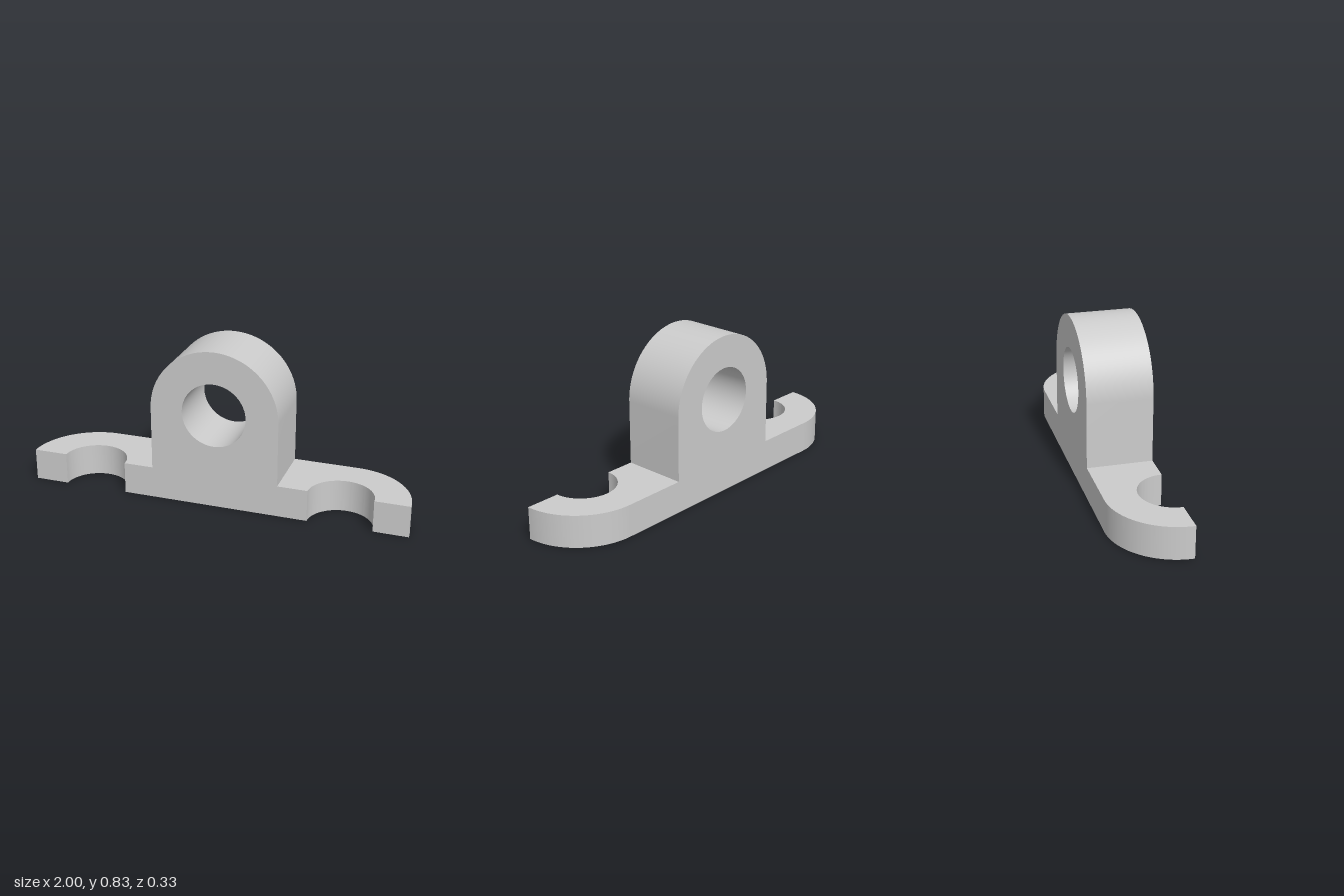
import * as THREE from 'three';
import { toCreasedNormals } from 'three/addons/utils/BufferGeometryUtils.js';

const HALF_DEPTH = 0.1667; // half of the front-to-back depth
const BASE_H = 0.1667; // thickness of the feet
const R_OUT = 0.3333; // outer radius of eye and foot ends
const R_HOLE = 0.1667;
const EYE_Y = 0.5;
const SLOT_X = 0.655;

const material = new THREE.MeshStandardMaterial({ color: 0xcccccc });

function extrude(shape, depth) {
  return new THREE.ExtrudeGeometry(shape, { depth, bevelEnabled: false, curveSegments: 32 });
}

function makeMesh(name, geometry) {
  const mesh = new THREE.Mesh(toCreasedNormals(geometry, Math.PI / 6), material);
  mesh.name = name;
  return mesh;
}

// Upright lug with a rounded top and a through bore
function bearingLug() {
  const shape = new THREE.Shape();
  shape.moveTo(-R_OUT, 0);
  shape.lineTo(R_OUT, 0);
  shape.lineTo(R_OUT, EYE_Y);
  shape.absarc(0, EYE_Y, R_OUT, 0, Math.PI, false);
  shape.lineTo(-R_OUT, 0);
  const bore = new THREE.Path();
  bore.absarc(0, EYE_Y, R_HOLE, 0, Math.PI * 2, true);
  shape.holes.push(bore);
  return makeMesh('bearingLug', extrude(shape, HALF_DEPTH * 2).translate(0, 0, -HALF_DEPTH));
}

// Flat foot in plan (shape y = -z): rounded back corner, half-round bolt slot in front
function mountingFoot(name, side) {
  const front = -HALF_DEPTH;
  const outline = new THREE.Shape();
  outline.moveTo(R_OUT, HALF_DEPTH);
  outline.lineTo(R_OUT, front);
  outline.lineTo(SLOT_X - R_HOLE, front);
  outline.absarc(SLOT_X, front, R_HOLE, Math.PI, 0, true);
  outline.lineTo(1, front);
  outline.absarc(1 - R_OUT, front, R_OUT, 0, Math.PI / 2, false);
  outline.lineTo(R_OUT, HALF_DEPTH);
  const points = outline.getPoints(32).map((p) => new THREE.Vector2(p.x * side, p.y));
  const geometry = extrude(new THREE.Shape(points), BASE_H).rotateX(-Math.PI / 2);
  return makeMesh(name, geometry);
}

export function createModel() {
  const model = new THREE.Group();
  model.name = 'pillowBracket';
  model.add(bearingLug(), mountingFoot('leftFoot', 1), mountingFoot('rightFoot', -1));
  return model;
}
